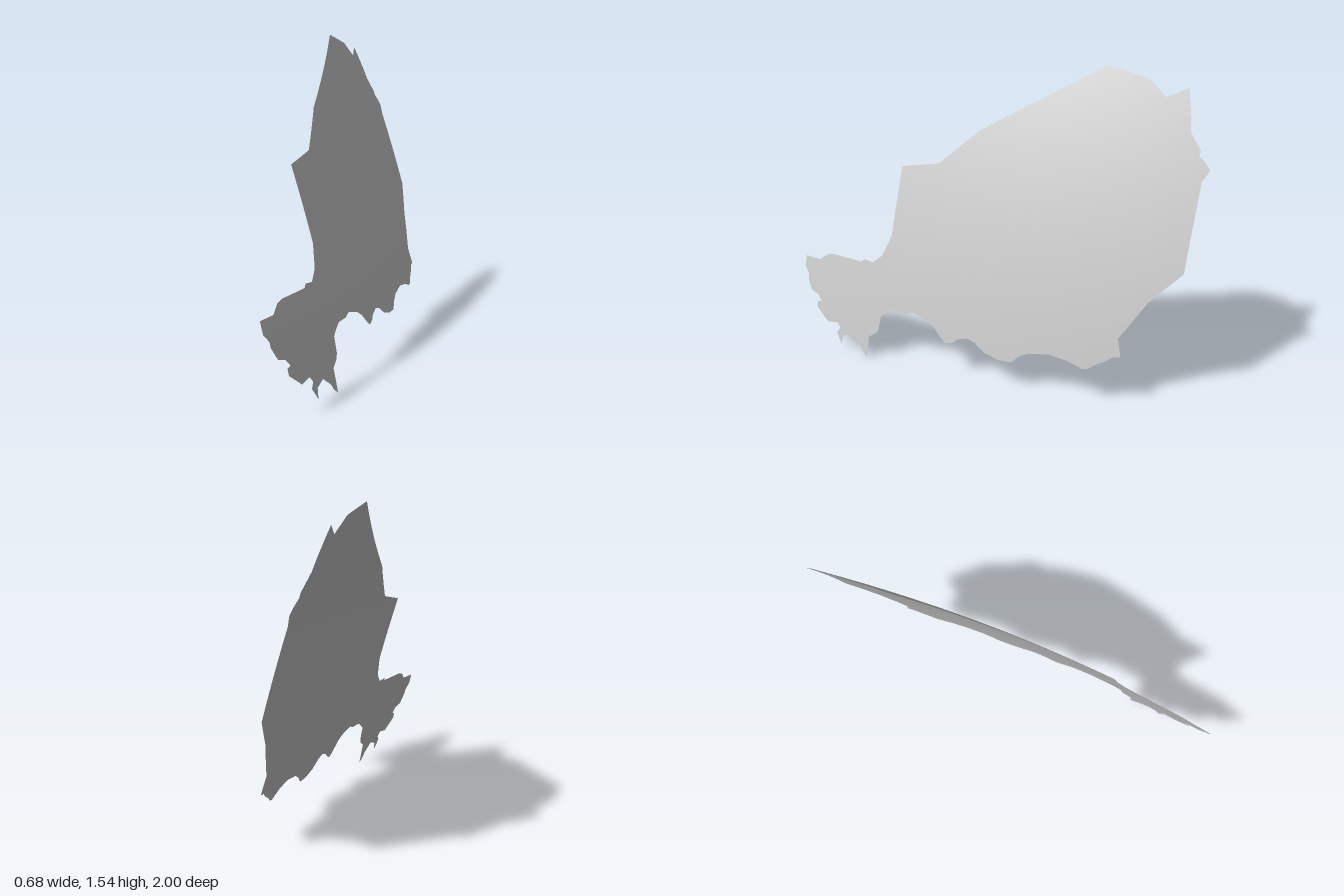
import * as THREE from 'three';

// Outline of the sheet as [z, y] pairs, one list per stretch of the edge
const backEdge = [
  [-0.465, 1.54], [-0.665, 1.495], [-0.75, 1.425], [-0.84, 1.47], [-0.875, 1.35], [-0.885, 1.29],
  [-0.92, 1.245], [-0.945, 1.215], [-0.94, 1.195], [-0.975, 1.165], [-1, 1.135], [-0.975, 1.085],
  [-0.975, 0.685], [-0.845, 0.54], [-0.785, 0.435], [-0.74, 0.36], [-0.765, 0.275],
];
const lowerEdge = [
  [-0.73, 0.27], [-0.7, 0.245], [-0.655, 0.22], [-0.625, 0.195], [-0.6, 0.19], [-0.53, 0.215],
  [-0.435, 0.23], [-0.335, 0.215], [-0.29, 0.19], [-0.255, 0.155], [-0.19, 0.155], [-0.115, 0.175],
  [-0.055, 0.215], [-0.015, 0.225], [0.035, 0.21], [0.055, 0.19], [0.095, 0.175], [0.125, 0.2],
  [0.165, 0.24], [0.205, 0.265], [0.295, 0.29], [0.335, 0.275], [0.41, 0.275], [0.455, 0.25],
];
const tailEdge = [
  [0.48, 0.23], [0.485, 0.16], [0.5, 0.135], [0.54, 0.11], [0.54, 0], [0.575, 0.03], [0.585, 0.05],
  [0.645, 0.095], [0.7, 0.075], [0.71, 0.03], [0.745, 0.085], [0.725, 0.11], [0.745, 0.135],
  [0.81, 0.125], [0.89, 0.185], [0.89, 0.215], [0.865, 0.22], [0.89, 0.25], [0.94, 0.265],
  [0.97, 0.32], [0.97, 0.345], [1, 0.38], [1, 0.435], [0.905, 0.435], [0.86, 0.47], [0.82, 0.48],
  [0.635, 0.48], [0.62, 0.495], [0.565, 0.49], [0.515, 0.535],
];
const upperEdge = [[0.475, 0.64], [0.475, 0.98], [0.275, 1.02], [0.085, 1.2]];

// Gently domed, leaning surface: x as a function of y and z
const BEND = 0.0738, LEAN = -0.205, TURN = 0.134;
const surfaceX = (y, z) => 0.291 + LEAN * y + TURN * z - BEND * (y * y + z * z);
const surfaceNormal = (y, z) =>
  new THREE.Vector3(1, 2 * BEND * y - LEAN, 2 * BEND * z - TURN).normalize();

// Split every triangle into four, so the flat fill can follow the dome
function subdivide(triangles) {
  const mid = (p, q) => p.clone().add(q).multiplyScalar(0.5);
  return triangles.flatMap(([a, b, c]) => {
    const ab = mid(a, b), bc = mid(b, c), ca = mid(c, a);
    return [[a, ab, ca], [ab, b, bc], [ca, bc, c], [ab, bc, ca]];
  });
}

function domedSheet(outline, levels) {
  // Flat fill, drawn with -z to the right and y up
  const points = outline.map(([z, y]) => new THREE.Vector2(-z, y));
  if (THREE.ShapeUtils.isClockWise(points)) points.reverse();
  let triangles = THREE.ShapeUtils.triangulateShape(points, []).map((f) => f.map((i) => points[i]));
  for (let i = 0; i < levels; i++) triangles = subdivide(triangles);

  // Lift the fill onto the dome
  const positions = [], normals = [];
  for (const { x: u, y } of triangles.flat()) {
    positions.push(surfaceX(y, -u), y, -u);
    normals.push(...surfaceNormal(y, -u).toArray());
  }
  const geometry = new THREE.BufferGeometry();
  geometry.setAttribute('position', new THREE.Float32BufferAttribute(positions, 3));
  geometry.setAttribute('normal', new THREE.Float32BufferAttribute(normals, 3));
  return geometry;
}

export function createModel() {
  const group = new THREE.Group();
  group.name = 'domedMapPiece';
  const material = new THREE.MeshStandardMaterial({ color: 0xcccccc, side: THREE.DoubleSide });
  const sheet = new THREE.Mesh(
    domedSheet([...backEdge, ...lowerEdge, ...tailEdge, ...upperEdge], 4), material);
  sheet.name = 'curvedSheet';
  group.add(sheet);
  return group;
}
